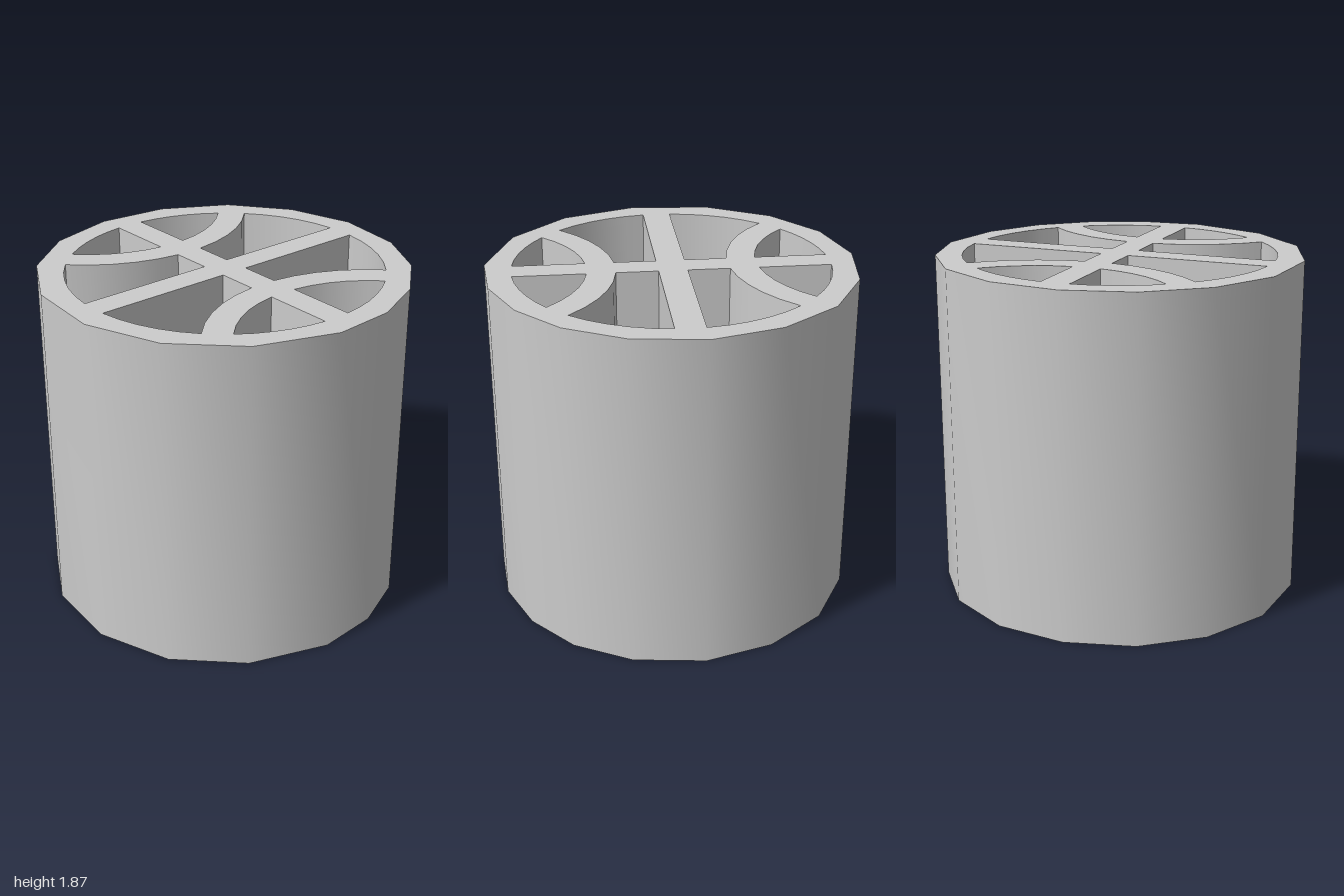
import * as THREE from 'three';
import { toCreasedNormals } from 'three/addons/utils/BufferGeometryUtils.js';

const HEIGHT = 1.87;
const INNER_R = 0.857; // bore radius
const HALF_BAR = 0.078; // half thickness of the cross bars
const RIB_Z = 1.165; // centre distance of the curved ribs
const RIB_R_OUT = 0.863;
const RIB_R_IN = 0.708;

// Points of an arc around (0, cy), from x0 to x1, evenly spaced in angle
function arc(cy, r, sign, x0, x1, n) {
  const a0 = Math.asin(x0 / r), a1 = Math.asin(x1 / r);
  return Array.from({ length: n + 1 }, (_, i) => {
    const a = a0 + ((a1 - a0) * i) / n;
    return [r * Math.sin(a), cy + sign * r * Math.cos(a)];
  });
}

// x where the bore meets a rib circle
function meetX(ribR) {
  const y = (INNER_R ** 2 - ribR ** 2 + RIB_Z ** 2) / (2 * RIB_Z);
  return Math.sqrt(INNER_R ** 2 - y * y);
}

export function createModel() {
  const group = new THREE.Group();
  group.name = 'ribbedCylinder';

  // Slightly irregular sixteen-sided outer wall, as x and z, counter-clockwise from above
  const outline = [
    [-0.455, -0.9], [-0.76, -0.665], [-0.96, -0.315], [-1, 0.13],
    [-0.85, 0.54], [-0.54, 0.845], [-0.11, 1], [0.23, 0.975],
    [0.54, 0.84], [0.785, 0.62], [0.95, 0.31], [1, -0.08],
    [0.895, -0.45], [0.66, -0.76], [0.31, -0.955], [-0.08, -1],
  ];
  const shape = new THREE.Shape(outline.map(([x, z]) => new THREE.Vector2(x, -z)));

  // Two openings per quadrant: one beside the straight bar, one behind the rib
  const xOut = meetX(RIB_R_OUT), xIn = meetX(RIB_R_IN);
  const xBar = Math.sqrt(INNER_R ** 2 - HALF_BAR ** 2);
  const sideOpening = [
    [HALF_BAR, HALF_BAR],
    ...arc(0, INNER_R, 1, xBar, xOut, 5),
    ...arc(RIB_Z, RIB_R_OUT, -1, xOut, HALF_BAR, 5).slice(1),
  ];
  const lensOpening = [
    ...arc(0, INNER_R, 1, HALF_BAR, xIn, 5),
    ...arc(RIB_Z, RIB_R_IN, -1, xIn, HALF_BAR, 5).slice(1),
  ];
  for (const sx of [1, -1]) {
    for (const sy of [1, -1]) {
      for (const opening of [sideOpening, lensOpening]) {
        const points = opening.map(([x, y]) => new THREE.Vector2(sx * x, sy * y));
        // Openings run clockwise, so that their walls face inwards
        if (!THREE.ShapeUtils.isClockWise(points)) points.reverse();
        shape.holes.push(new THREE.Path(points));
      }
    }
  }

  // Straight extrusion, stood upright, with smooth walls and sharp corners
  const extruded = new THREE.ExtrudeGeometry(shape, { depth: HEIGHT, bevelEnabled: false });
  extruded.rotateX(-Math.PI / 2);
  const body = new THREE.Mesh(
    toCreasedNormals(extruded, 0.6),
    new THREE.MeshStandardMaterial({ color: 0xcccccc })
  );
  body.name = 'wallAndRibs';
  group.add(body);
  return group;
}
